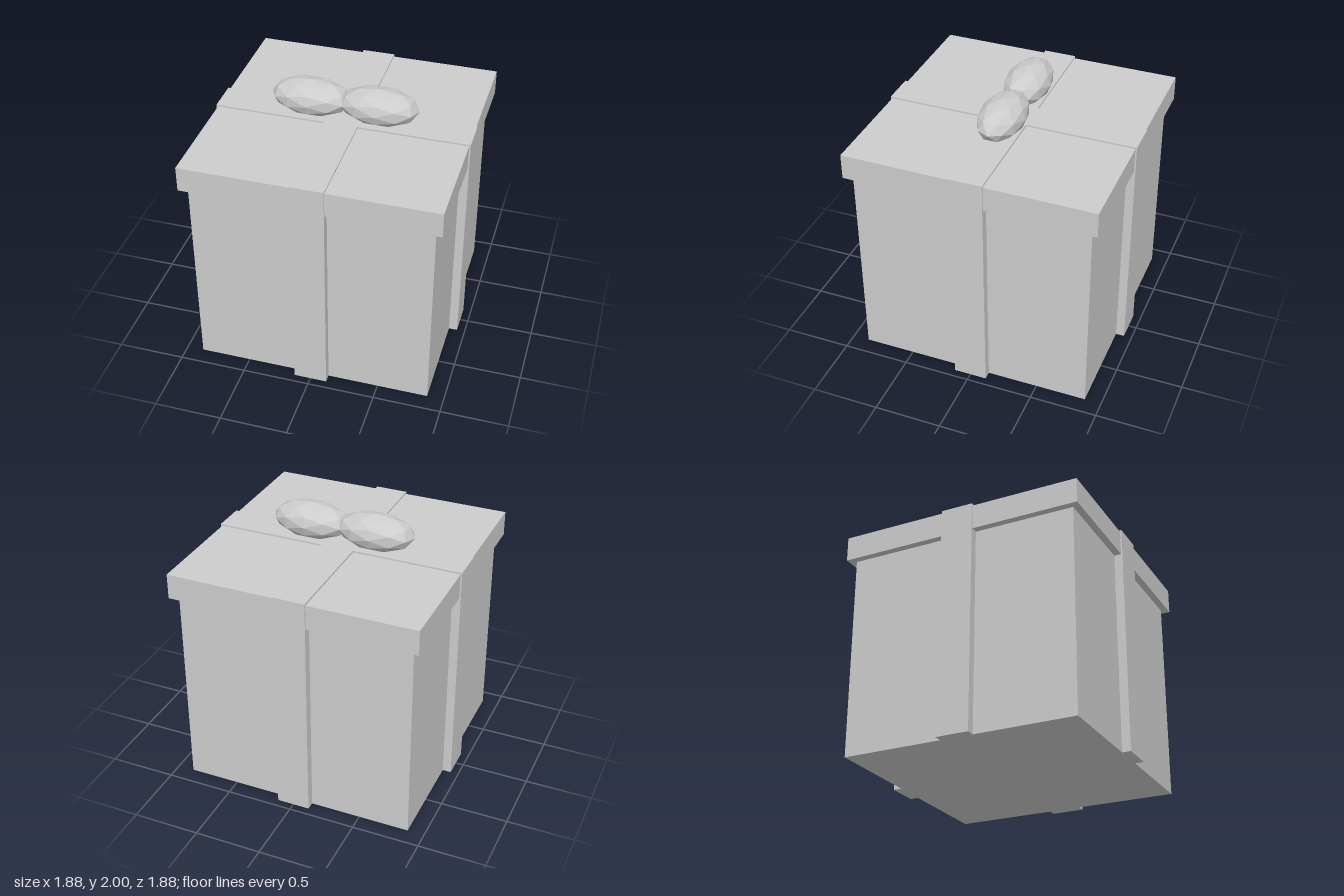
import * as THREE from 'three';

export function createModel() {
  const group = new THREE.Group();
  group.name = 'giftBox';
  const paper = new THREE.MeshStandardMaterial({ color: 0xcccccc, flatShading: true });
  paper.name = 'light grey';

  const add = (name, geometry, x, y, z) => {
    const mesh = new THREE.Mesh(geometry, paper);
    mesh.name = name;
    mesh.position.set(x, y, z);
    group.add(mesh);
    return mesh;
  };

  // Box body and the overhanging lid
  const lidBottom = 1.537, lidTop = 1.725;
  add('boxBody', new THREE.BoxGeometry(1.752, lidBottom, 1.752), 0, lidBottom / 2, 0);
  add('lid', new THREE.BoxGeometry(1.858, lidTop - lidBottom, 1.858), 0, (lidBottom + lidTop) / 2, 0);

  // Crossed ribbons, one plus-shaped outline extruded from the ground to just above the lid
  const w = 0.123, r = 0.94;
  const outline = [
    [w, -r], [w, -w], [r, -w], [r, w], [w, w], [w, r],
    [-w, r], [-w, w], [-r, w], [-r, -w], [-w, -w], [-w, -r],
  ].map(([x, y]) => new THREE.Vector2(x, y));
  const ribbon = new THREE.ExtrudeGeometry(new THREE.Shape(outline), { depth: 1.738, bevelEnabled: false });
  ribbon.rotateX(-Math.PI / 2);
  add('ribbon', ribbon, 0, 0, 0);

  // Bow: two faceted, stretched loops meeting in the middle
  const loop = new THREE.IcosahedronGeometry(1, 1).scale(0.294, 0.136, 0.168);
  for (const [name, side] of [['leftBowLoop', 1], ['rightBowLoop', -1]]) {
    add(name, loop, side * 0.25, 1.864, 0);
  }
  return group;
}
